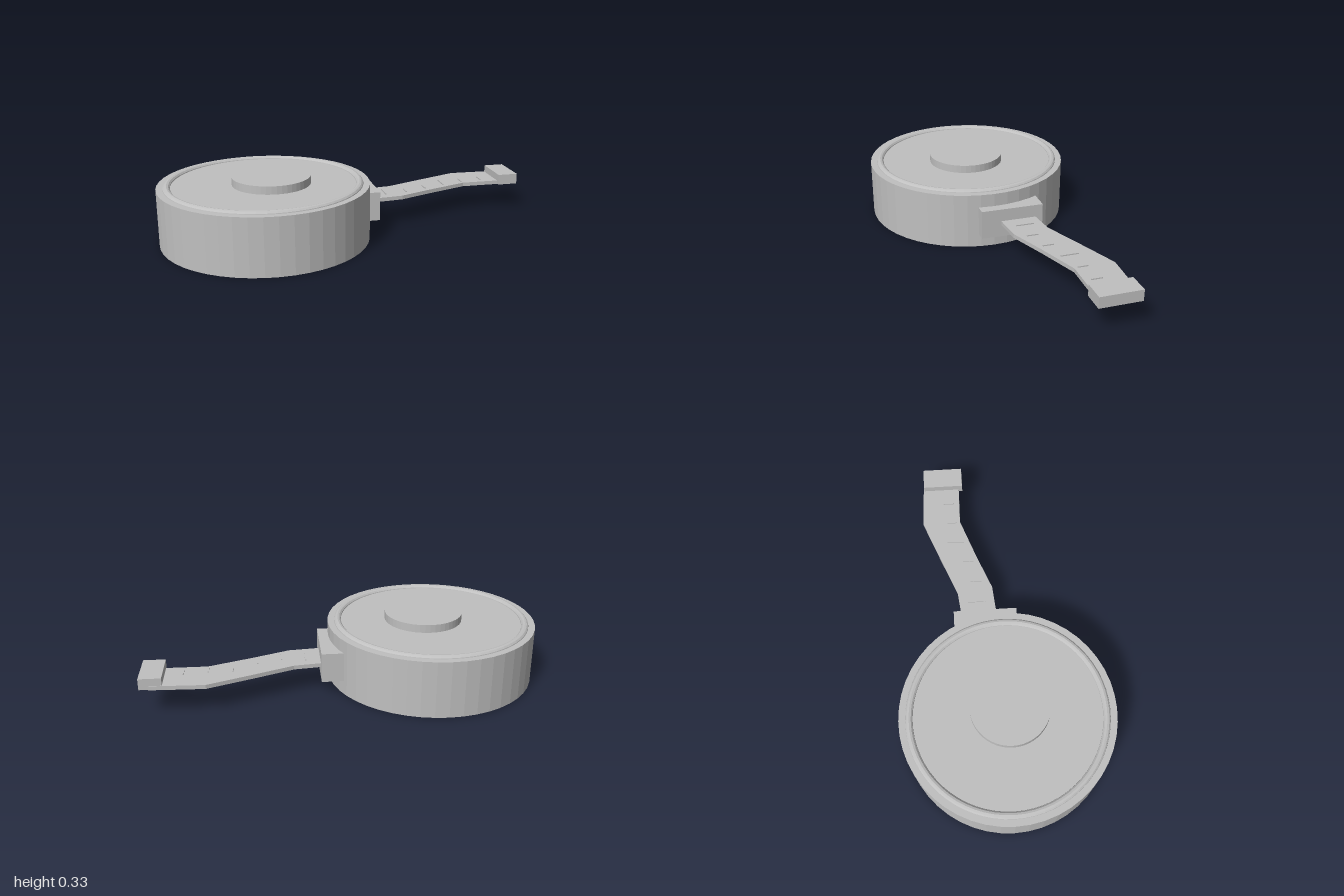
import * as THREE from 'three';

export function createModel() {
  const group = new THREE.Group();
  const grey = new THREE.MeshStandardMaterial({ color: 0xc0c0c0 });
  grey.name = 'lightGrey';
  grey.flatShading = true;

  const add = (name, geometry, x = 0, y = 0, z = 0) => {
    const mesh = new THREE.Mesh(geometry, grey);
    mesh.name = name;
    mesh.position.set(x, y, z);
    group.add(mesh);
    return mesh;
  };
  // Box given by its extents on each axis
  const addBox = (name, [x0, x1], [y0, y1], [z0, z1]) =>
    add(name, new THREE.BoxGeometry(x1 - x0, y1 - y0, z1 - z0),
      (x0 + x1) / 2, (y0 + y1) / 2, (z0 + z1) / 2);

  // Round case with raised rim and off-centre button
  const caseX = -0.463;
  add('case', new THREE.CylinderGeometry(0.537, 0.537, 0.292, 48), caseX, 0.146, 0);
  const rim = new THREE.TorusGeometry(0.485, 0.02, 12, 64);
  rim.rotateX(-Math.PI / 2);
  add('rim', rim, caseX, 0.286, 0);
  add('button', new THREE.CylinderGeometry(0.2, 0.2, 0.063, 48), -0.427, 0.302, 0.013);

  // Outlet where the tape leaves the case
  addBox('outlet', [0, 0.125], [0.072, 0.224], [-0.245, 0.083]);

  // Bent tape: outline in plan, extruded upwards
  const outline = [
    [0.07, -0.015], [0.28, -0.035], [0.467, -0.11], [0.685, -0.19], [0.955, -0.187],
    [0.955, -0.382], [0.685, -0.393], [0.455, -0.302], [0.26, -0.222], [0.07, -0.2],
  ].map(([x, z]) => new THREE.Vector2(x, -z));
  const tape = new THREE.ExtrudeGeometry(new THREE.Shape(outline), { depth: 0.021, bevelEnabled: false });
  tape.rotateX(-Math.PI / 2);
  add('tape', tape, 0, 0.137, 0);

  // Raised measuring marks, every fourth one longer
  [[-0.17, -0.075], [-0.15, -0.09], [-0.185, -0.128], [-0.265, -0.173], [-0.26, -0.207], [-0.277, -0.222]]
    .forEach((span, i) => {
      const x = 0.2 + i * 0.12;
      addBox('mark', [x - 0.003, x + 0.003], [0.156, 0.164], span);
    });

  // End grip
  addBox('endGrip', [0.89, 1], [0.139, 0.196], [-0.38, -0.168]);

  return group;
}
